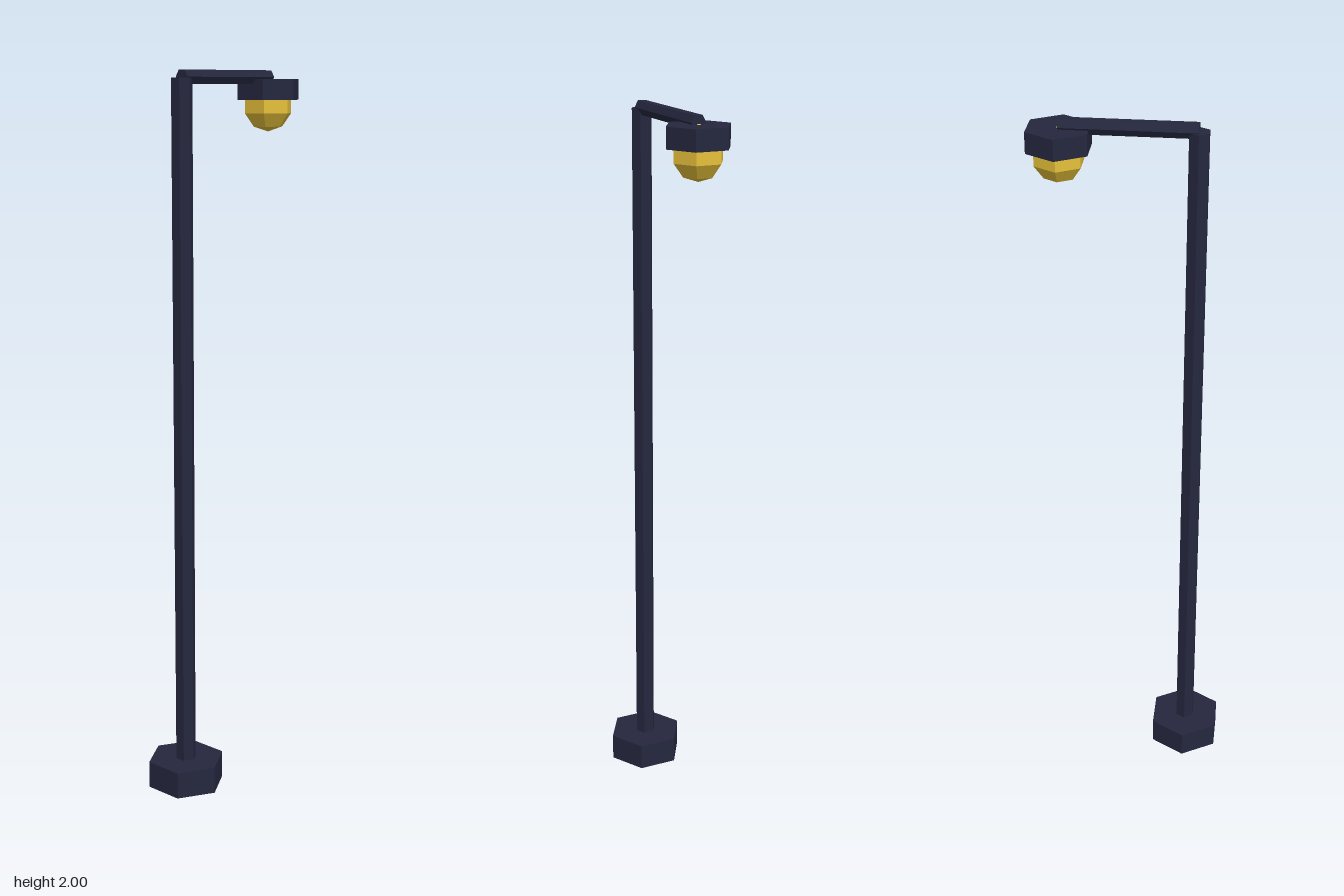
import * as THREE from 'three';

const POLE_X = -0.168;
const LAMP_X = 0.183;

export function createModel() {
  const group = new THREE.Group();
  const metal = new THREE.MeshStandardMaterial({ color: 0x25273e, flatShading: true });
  const glow = new THREE.MeshStandardMaterial({ color: 0xe6c03a, flatShading: true });

  const add = (name, geometry, material, x, y) => {
    const mesh = new THREE.Mesh(geometry, material);
    mesh.name = name;
    mesh.position.set(x, y, 0);
    group.add(mesh);
  };
  // six-sided prism with corners pointing along z
  const hexPrism = (radius, length) => new THREE.CylinderGeometry(radius, radius, length, 6);

  // foot and upright
  add('base', hexPrism(0.11, 0.077), metal, POLE_X, 0.0385);
  add('pole', hexPrism(0.029, 1.98), metal, POLE_X, 0.99);

  // horizontal arm from the pole to the lamp
  const arm = hexPrism(0.021, LAMP_X - POLE_X).rotateZ(Math.PI / 2);
  add('arm', arm, metal, (POLE_X + LAMP_X) / 2, 1.982);

  // lamp cap with the bulb half sunk into it
  add('lampCap', hexPrism(0.09, 0.056), metal, LAMP_X, 1.949);
  const bulb = new THREE.SphereGeometry(0.072, 6, 5).rotateY(Math.PI / 2);
  add('bulb', bulb, glow, LAMP_X, 1.907);

  return group;
}
